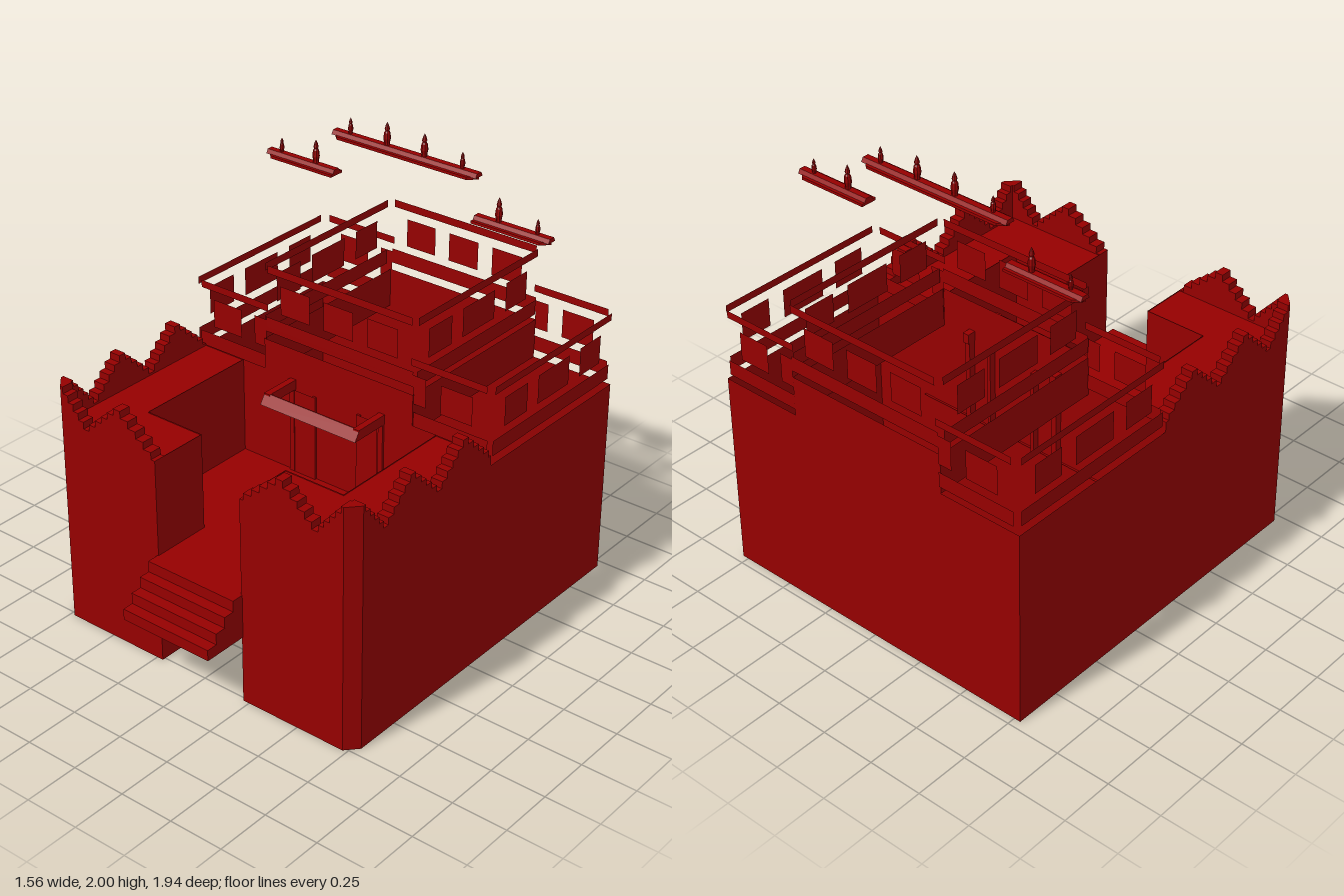
import * as THREE from 'three';

const mat = new THREE.MeshStandardMaterial({ color: 0x950000, side: THREE.DoubleSide, flatShading: true });

export function createModel() {
  const root = new THREE.Group();
  const add = (name, geo, parent = root) => {
    const m = new THREE.Mesh(geo, mat);
    m.name = name;
    parent.add(m);
    return m;
  };
  // box given by its limits on each axis
  const box = (name, x0, x1, y0, y1, z0, z1) =>
    add(name, new THREE.BoxGeometry(x1 - x0, y1 - y0, z1 - z0))
      .position.set((x0 + x1) / 2, (y0 + y1) / 2, (z0 + z1) / 2);
  // upright sheet between two plan points
  const sheet = (name, xa, za, xb, zb, y0, y1) => {
    const m = add(name, new THREE.PlaneGeometry(Math.hypot(xb - xa, zb - za), y1 - y0));
    m.position.set((xa + xb) / 2, (y0 + y1) / 2, (za + zb) / 2);
    m.rotation.y = -Math.atan2(zb - za, xb - xa);
  };
  const shapeOf = (pts) => new THREE.Shape(pts.map((p) => new THREE.Vector2(...p)));
  const extrude = (pts, depth) => new THREE.ExtrudeGeometry(shapeOf(pts), { depth, bevelEnabled: false });

  const W = 0.78, FRONT = 0.765, MID = -0.1, BACK = -0.963, ROOF = 0.95, FLOOR = 0.51;
  const T = 0.055, BASE = 0.94; // parapet thickness and underside
  const HIGH = 1.11, LOW = 0.955, STEPS = 6;

  // parapet outline whose top climbs and falls in steps between the given knots
  const steppedOutline = (knots) => {
    const pts = [[knots[0][0], BASE]];
    for (let k = 0; k < knots.length - 1; k++) {
      const [u0, h0] = knots[k], [u1, h1] = knots[k + 1];
      const edge = (i) => u0 + (u1 - u0) * Math.min(1, Math.max(0, (i - 0.5) / (STEPS - 1)));
      for (let i = 0; i < STEPS; i++) {
        const h = h0 + (h1 - h0) * i / (STEPS - 1);
        pts.push([edge(i), h], [edge(i + 1), h]);
      }
    }
    pts.push([knots[knots.length - 1][0], BASE]);
    return pts;
  };
  const sideOutline = steppedOutline([[-0.71, HIGH], [-0.575, LOW], [-0.41, HIGH],
    [-0.24, LOW], [-0.075, HIGH], [0.1, LOW]]);
  const frontOutline = steppedOutline([[0.22, ROOF], [0.42, HIGH], [0.595, LOW], [0.73, HIGH]]);

  for (const s of [1, -1]) {
    // stepped parapets and chamfered corner post
    const side = add('sideParapet', extrude(sideOutline, T));
    side.rotation.y = Math.PI / 2;
    side.position.x = s > 0 ? W - T : -W;
    const outline = frontOutline.map(([x, y]) => [s * x, y]);
    add('frontParapet', extrude(outline, T)).position.z = FRONT - T;
    const post = add('cornerPost', extrude([[s * 0.725, 0.71], [s * W, 0.71], [s * 0.73, FRONT], [s * 0.725, FRONT]], HIGH - BASE));
    post.rotation.x = Math.PI / 2;
    post.position.y = HIGH;

    // outer walls
    sheet('sideWall', s * W, 0.71, s * W, MID, 0, BASE);
    sheet('cornerWall', s * W, 0.71, s * 0.73, FRONT, 0, BASE);
    sheet('frontWall', s * 0.73, FRONT, s * 0.22, FRONT, 0, BASE);
    sheet('rearSideWall', s * W, MID, s * W, BACK, 0, 0.91);
    sheet('upperSideWall', s * 0.39, MID, s * 0.39, BACK, 0.91, 1.09);

    // walls around the recessed entrance court
    sheet('passageWall', s * 0.22, FRONT, s * 0.22, 0.49, 0, ROOF);
    sheet('courtReturnWall', s * 0.22, 0.49, s * 0.51, 0.49, 0, ROOF);
    sheet('courtSideWall', s * 0.51, 0.49, s * 0.51, MID, 0, ROOF);

    // door surround and canopy arms
    sheet('doorPanel', s * 0.11, MID + 0.01, s * 0.22, MID + 0.01, FLOOR, 0.905);
    box('doorJamb', s * 0.118 - 0.008, s * 0.118 + 0.008, FLOOR, 0.905, -0.13, -0.09);
    box('doorPost', s * 0.235 - 0.012, s * 0.235 + 0.012, FLOOR, 0.905, -0.13, -0.09);
    box('canopyArm', s * 0.235 - 0.015, s * 0.235 + 0.015, 0.905, ROOF, -0.14, 0.07);
  }
  sheet('rearWall', -W, BACK, W, BACK, 0, 0.91);
  sheet('upperRearWall', -0.39, BACK, 0.39, BACK, 0.91, 1.09);
  sheet('middleWall', -W, MID, W, MID, 0, ROOF);
  sheet('upperFrontWall', -0.39, MID, 0.39, MID, ROOF, 1.09);

  // flat terrace roof with the T-shaped court cut out, and the court floor
  const half = [[0.22, FRONT], [0.22, 0.49], [0.51, 0.49], [0.51, MID - 0.01]];
  const mirror = (pts) => pts.map(([x, z]) => [-x, z]).reverse();
  const flat = (name, pts, y) => {
    const m = add(name, new THREE.ShapeGeometry(shapeOf(pts)));
    m.rotation.x = Math.PI / 2;
    m.position.y = y;
  };
  const roofHalf = [[0.22, 0.75], [0.22, 0.49], [0.51, 0.49], [0.51, MID], [0.775, MID], [0.775, 0.71], [0.73, 0.75]];
  flat('terraceLeft', roofHalf, ROOF - 0.005);
  flat('terraceRight', mirror(roofHalf), ROOF - 0.005);
  flat('courtFloor', [...half, ...mirror(half)], FLOOR);

  // canopy front with a sloping face
  const canopy = add('canopyFront', extrude([[-0.06, 0.905], [-0.095, 0.905], [-0.065, ROOF], [-0.06, ROOF]], 0.5));
  canopy.rotation.y = Math.PI / 2;
  canopy.position.x = -0.25;

  // entrance stairs
  const stairs = [[-FRONT, 0.31]];
  for (let i = 0; i < 4; i++) {
    const z = -0.973 + i * 0.051, y = 0.36 + i * 0.05;
    stairs.push([z, y - 0.05], [z, y]);
  }
  stairs.push([-FRONT, FLOOR]);
  const stair = add('stairs', extrude(stairs, 0.45));
  stair.rotation.y = Math.PI / 2;
  stair.position.x = -0.225;

  // thin trim sheets on every face of the wings and of the raised centre
  const across = (name, x0, x1, y0, y1) => {
    for (const z of [-0.106, -0.967]) sheet(name, x0, z, x1, z, y0, y1);
  };
  const along = (name, x, z0, z1, y0, y1) => sheet(name, x, z0, x, z1, y0, y1);
  const panelsZ = [[-0.345, -0.19], [-0.64, -0.42], [-0.87, -0.72]];
  const bands = (y) => [[y, y + 0.024], [y + 0.024, y + 0.046], [y + 0.046, y + 0.068]];
  for (const s of [1, -1]) {
    const span = (a, b) => (s > 0 ? [a, b] : [-b, -a]);
    for (const [y0, y1] of bands(0.942)) {
      across('wingBand', ...span(0.385, 0.755), y0, y1);
      along('wingSideBand', s * 0.775, -0.945, -0.115, y0, y1);
    }
    for (const [y0, y1] of bands(1.123)) along('centreSideBand', s * 0.397, -0.945, -0.115, y0, y1);
    across('wingRail', ...span(0.375, 0.745), 1.217, 1.25);
    along('wingSideRail', s * 0.775, -0.945, -0.12, 1.217, 1.25);
    along('centreSideRail', s * 0.397, -0.945, -0.12, 1.395, 1.43);
    across('wingWindow', ...span(0.523, 0.678), 1.047, 1.177);
    across('wingInnerWindow', ...span(0.385, 0.45), 1.047, 1.177);
    for (const [z0, z1] of panelsZ) {
      along('wingSideWindow', s * 0.775, z0, z1, 1.047, 1.177);
      along('centreSideWindow', s * 0.397, z0, z1, 1.225, 1.355);
    }
  }
  for (const [y0, y1] of bands(1.123)) across('centreBand', -0.385, 0.385, y0, y1);
  across('centreRail', -0.375, 0.375, 1.395, 1.43);
  for (const x of [-0.228, 0, 0.228]) across('centreWindow', x - 0.077, x + 0.077, 1.225, 1.355);

  // ridge caps with spear-shaped finials
  const finialProfile = [[0.012, 0], [0.012, 0.12], [0.016, 0.3], [0.013, 0.55], [0.008, 0.62],
    [0.011, 0.7], [0.007, 0.85], [0, 1]];
  const D = 0.037;
  const ridge = (name, outline, y, finials) => {
    const g = new THREE.Group();
    g.name = name;
    g.position.set(0, y, -0.538);
    root.add(g);
    const cap = add('ridgeCap', extrude(outline, 0.012), g);
    cap.rotation.x = -Math.PI / 2;
    const xs = outline.map((p) => p[0]);
    const x0 = Math.min(...xs), x1 = Math.max(...xs);
    const crest = add('ridgeCrest', extrude([[-0.024, 0.01], [0.024, 0.01], [0.014, 0.028], [-0.014, 0.028]], x1 - x0), g);
    crest.rotation.y = Math.PI / 2;
    crest.position.x = x0;
    for (const [x, h] of finials) {
      const pts = finialProfile.map(([r, v]) => new THREE.Vector2(r * Math.min(1, h / 0.1), v * h));
      add('finial', new THREE.LatheGeometry(pts, 8), g).position.set(x, 0.026, 0);
    }
  };
  ridge('centreRidge', [[-0.367, 0], [-0.33, -D], [0.33, -D], [0.367, 0], [0.33, D], [-0.33, D]], 1.873,
    [[-0.285, 0.071], [-0.095, 0.101], [0.095, 0.101], [0.285, 0.071]]);
  for (const s of [1, -1]) {
    ridge('wingRidge', [[s * 0.36, -D], [s * 0.69, -D], [s * 0.725, 0], [s * 0.69, D], [s * 0.36, D]], 1.693,
      [[s * 0.47, 0.106], [s * 0.657, 0.066]]);
  }
  return root;
}
